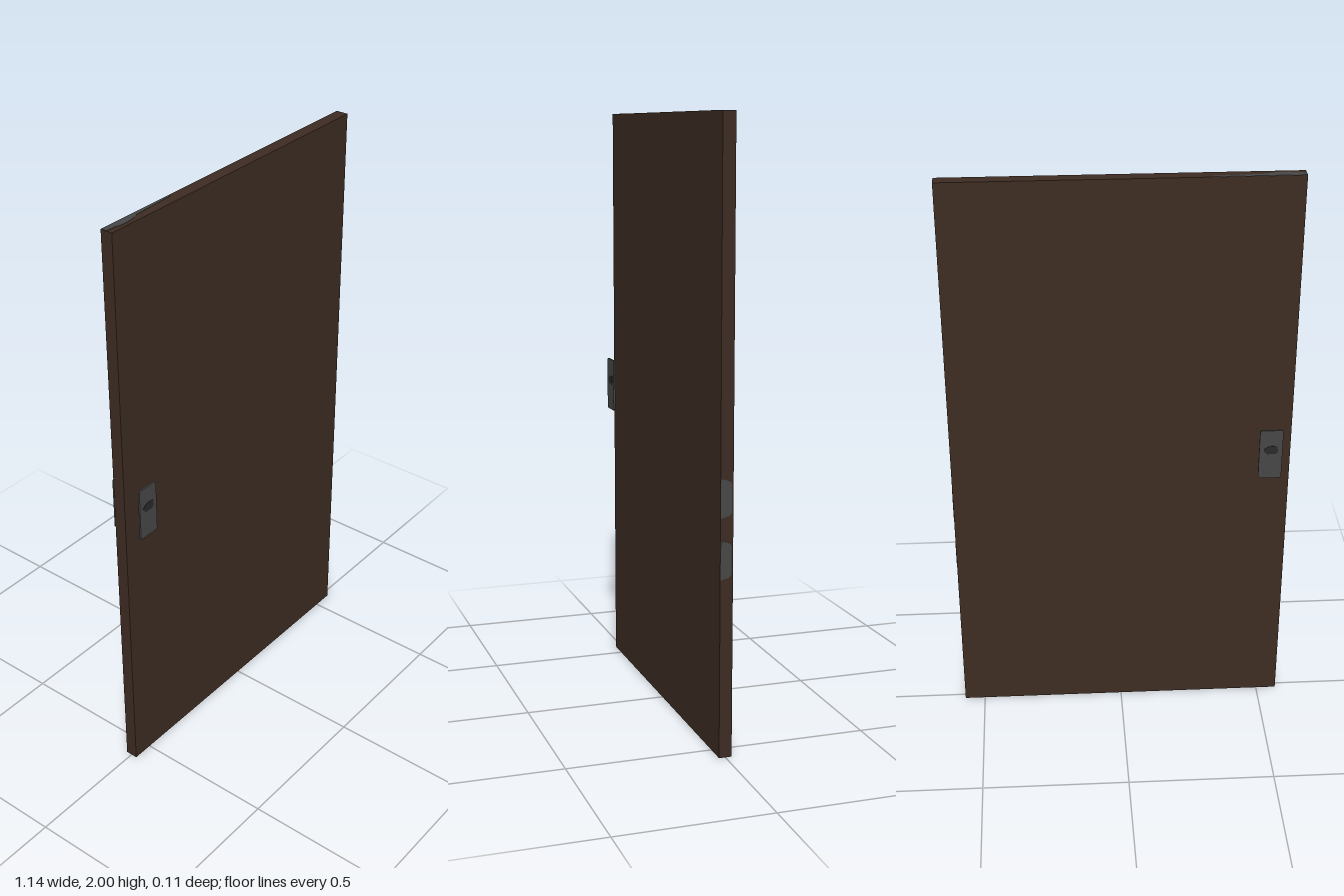
import * as THREE from 'three';

const wood = new THREE.MeshStandardMaterial({ name: 'darkWood', color: 0x3d2c22 });
const steel = new THREE.MeshStandardMaterial({ name: 'greySteel', color: 0x474748 });
const dark = new THREE.MeshStandardMaterial({ name: 'darkRecess', color: 0x2b2a2a });

const W = 1.142, H = 2, D = 0.042;

// Thin plate extruded from a 2D outline
function plate(name, points, depth, material) {
  const shape = new THREE.Shape(points.map(([x, y]) => new THREE.Vector2(x, y)));
  const mesh = new THREE.Mesh(new THREE.ExtrudeGeometry(shape, { depth, bevelEnabled: false }), material);
  mesh.name = name;
  return mesh;
}

// Rectangle outline with clipped corners
function clipped(w, h, c) {
  const x = w / 2, y = h / 2;
  return [[-x + c, -y], [x - c, -y], [x, -y + c], [x, y - c], [x - c, y], [-x + c, y], [-x, y - c], [-x, -y + c]];
}

// Lock plate with its dark keyhole, centred on the origin and facing +z
function lockPlate(name) {
  const group = new THREE.Group();
  group.name = name;
  const body = plate('plate', clipped(0.078, 0.184, 0.005), 0.006, steel);
  body.position.z = -0.003;
  const hole = plate('keyhole', [[-0.024, -0.004], [-0.012, -0.015], [0.016, -0.015], [0.023, -0.008],
    [0.023, 0.014], [0.002, 0.016], [-0.012, 0.013], [-0.024, 0.004]], 0.001, dark);
  hole.position.set(0, 0.017, 0.003);
  group.add(body, hole);
  return group;
}

export function createModel() {
  const door = new THREE.Group();
  door.name = 'door';

  // Door leaf
  const leaf = new THREE.Mesh(new THREE.BoxGeometry(W, H - 0.001, D), wood);
  leaf.name = 'leaf';
  leaf.position.y = (H - 0.001) / 2;
  door.add(leaf);

  // Lock plates standing off both faces
  for (const side of [1, -1]) {
    const lock = lockPlate(side > 0 ? 'frontLock' : 'backLock');
    lock.position.set(-0.5, 1.028, side * 0.053);
    if (side < 0) lock.rotation.y = Math.PI;
    door.add(lock);
  }

  // Hinge leaves set in the right-hand edge
  for (const y of [0.64, 0.835]) {
    const hinge = plate('hinge', [[-0.02, -0.062], [0.008, -0.055], [0.016, -0.045],
      [0.016, 0.045], [0.008, 0.055], [-0.02, 0.062]], 0.001, steel);
    hinge.rotation.y = Math.PI / 2;
    hinge.position.set(W / 2, y, 0);
    door.add(hinge);
  }

  // Closer plate on the top edge, outlined in x and -z
  const closer = plate('closerPlate', [[-0.57, 0], [-0.53, -0.003], [-0.52, -0.008], [-0.475, -0.007],
    [-0.44, 0.005], [-0.36, 0.009], [-0.28, 0.013], [-0.28, 0.02], [-0.57, 0.02]], 0.001, steel);
  closer.rotation.x = -Math.PI / 2;
  closer.position.y = H - 0.001;
  door.add(closer);

  return door;
}
